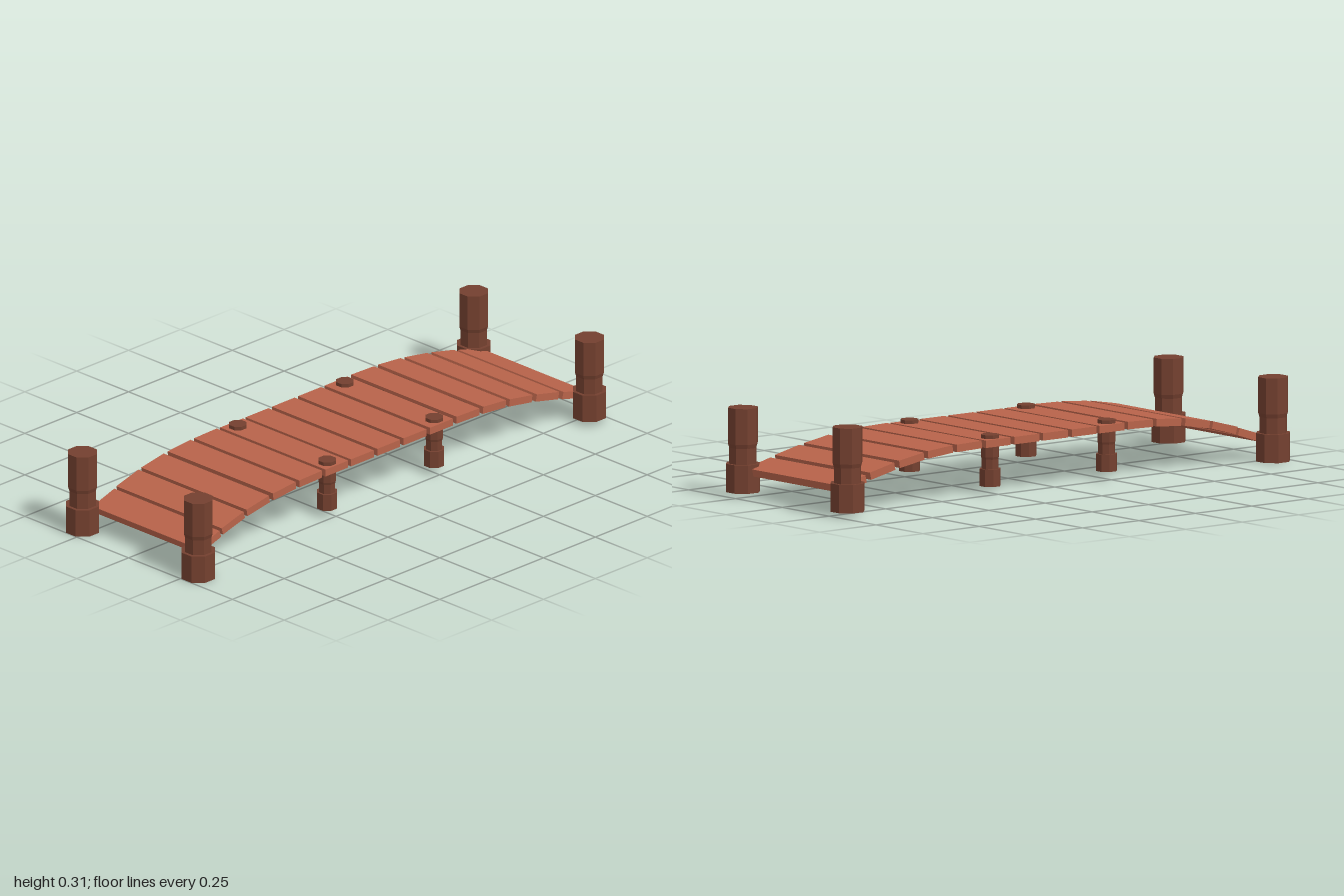
import * as THREE from 'three';

const plankMat = new THREE.MeshStandardMaterial({ color: 0xb8634a, flatShading: true });
const postMat = new THREE.MeshStandardMaterial({ color: 0x74402f, flatShading: true });

// Centre line of the deck as [z, y], back to front: one entry per plank
const deck = [
  [-0.893, 0.1], [-0.766, 0.132], [-0.637, 0.157], [-0.51, 0.173], [-0.382, 0.179],
  [-0.254, 0.179], [-0.127, 0.179], [0, 0.179], [0.127, 0.179], [0.25, 0.179],
  [0.376, 0.179], [0.502, 0.173], [0.629, 0.157], [0.749, 0.13], [0.864, 0.093],
];

// Tilt of the deck at plank i, from its neighbours; the end planks are a touch steeper
function tilt(i) {
  const a = deck[Math.max(i - 1, 0)];
  const b = deck[Math.min(i + 1, deck.length - 1)];
  return Math.atan2(a[1] - b[1], b[0] - a[0]);
}

// Eight-sided post: wide foot, narrow neck, slightly flared head
const FLAT = 1 / Math.cos(Math.PI / 8);
const postProfile = [
  [0, 0], [0.0565, 0], [0.0565, 0.098], [0.045, 0.098], [0.045, 0.153],
  [0.049, 0.167], [0.049, 0.291], [0, 0.291],
].map(([r, y]) => new THREE.Vector2(r * FLAT, y));
const postGeo = new THREE.LatheGeometry(postProfile, 8, Math.PI / 8);

function addPost(group, name, x, y, z, scale) {
  const post = new THREE.Mesh(postGeo, postMat);
  post.name = name;
  post.position.set(x, y, z);
  post.scale.setScalar(scale);
  group.add(post);
}

export function createModel() {
  const bridge = new THREE.Group();
  bridge.name = 'footbridge';

  // Planks
  const plankGeo = new THREE.BoxGeometry(0.508, 0.026, 0.11);
  deck.forEach(([z, y], i) => {
    const plank = new THREE.Mesh(plankGeo, plankMat);
    plank.name = `plank${i + 1}`;
    plank.position.set(0, y, z);
    plank.rotation.x = tilt(i);
    bridge.add(plank);
  });

  // Two thin straps threaded through the planks, seen in the gaps
  const half = 0.007;
  const strapShape = new THREE.Shape([
    ...deck.map(([z, y]) => new THREE.Vector2(-z, y - half)),
    ...deck.map(([z, y]) => new THREE.Vector2(-z, y + half)).reverse(),
  ]);
  const strapGeo = new THREE.ExtrudeGeometry(strapShape, { depth: 0.085, bevelEnabled: false });
  strapGeo.translate(0, 0, -0.0425);
  strapGeo.rotateY(Math.PI / 2);
  for (const [name, x] of [['leftStrap', 0.13], ['rightStrap', -0.138]]) {
    const strap = new THREE.Mesh(strapGeo, postMat);
    strap.name = name;
    strap.position.x = x;
    bridge.add(strap);
  }

  // Corner posts (the back pair stands a little higher) and small posts under the deck
  for (const [side, s] of [['Left', 1], ['Right', -1]]) {
    addPost(bridge, `front${side}Post`, s * 0.279, 0, 0.943, 1);
    addPost(bridge, `back${side}Post`, s * 0.279, 0.016, -0.943, 1);
    addPost(bridge, `frontSmall${side}Post`, s * 0.215, 0.027, 0.258, 0.61);
    addPost(bridge, `backSmall${side}Post`, s * 0.215, 0.027, -0.258, 0.61);
  }
  return bridge;
}
